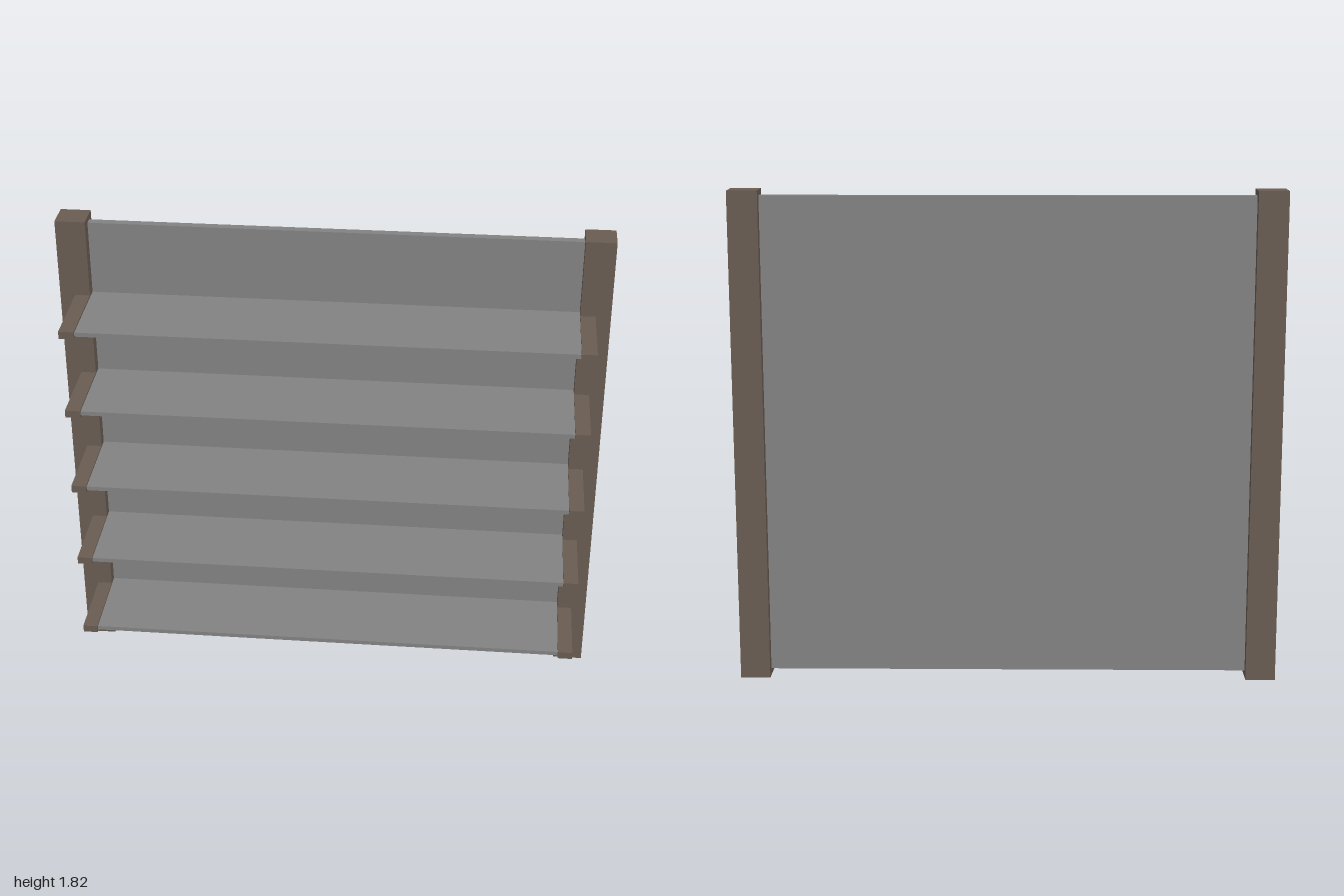
import * as THREE from 'three';

export function createModel() {
  const wood = new THREE.MeshStandardMaterial({ color: 0x685c52 });
  wood.name = 'brown frame';
  const grey = new THREE.MeshStandardMaterial({ color: 0x828282 });
  grey.name = 'grey panel';

  const model = new THREE.Group();
  model.name = 'shelfUnit';

  // Box given by its minimum and maximum corners
  const box = (name, material, [x0, y0, z0], [x1, y1, z1]) => {
    const mesh = new THREE.Mesh(new THREE.BoxGeometry(x1 - x0, y1 - y0, z1 - z0), material);
    mesh.position.set((x0 + x1) / 2, (y0 + y1) / 2, (z0 + z1) / 2);
    mesh.name = name;
    model.add(mesh);
  };

  // Back panel between the posts
  box('backPanel', grey, [-0.89, 0.025, -0.165], [0.89, 1.8, -0.135]);

  // Upright posts
  box('rightPost', wood, [-1, 0, -0.2], [-0.89, 1.82, -0.092]);
  box('leftPost', wood, [0.89, 0, -0.2], [1, 1.82, -0.092]);

  // Five shelves, each carried by an arm at either end
  for (let i = 0; i < 5; i++) {
    const y = 0.23 + i * 0.3215;
    box('shelf', grey, [-0.89, y - 0.008, -0.135], [0.89, y + 0.008, 0.19]);
    box('rightArm', wood, [-0.945, y - 0.014, -0.092], [-0.89, y + 0.014, 0.2]);
    box('leftArm', wood, [0.89, y - 0.014, -0.092], [0.945, y + 0.014, 0.2]);
  }
  return model;
}
